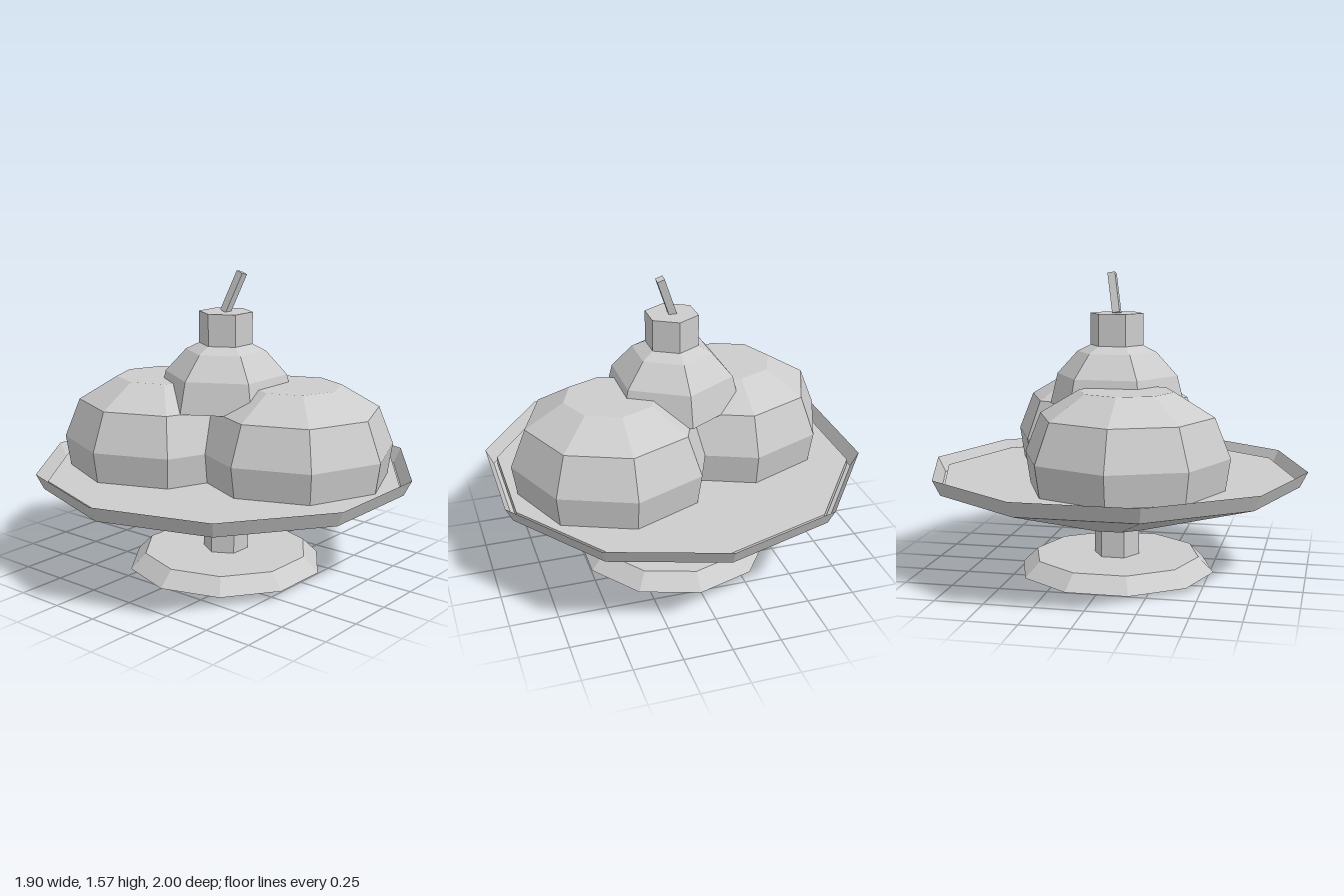
import * as THREE from 'three';

const grey = new THREE.MeshStandardMaterial({ color: 0xcccccc, side: THREE.DoubleSide });
grey.name = 'pale grey';

// Facet a geometry so every face is flat
function faceted(name, geometry) {
  const flat = geometry.toNonIndexed();
  flat.computeVertexNormals();
  const mesh = new THREE.Mesh(flat, grey);
  mesh.name = name;
  return mesh;
}

// Turned part from [radius, height] pairs, listed bottom to top
function turned(name, sides, profile) {
  const points = profile.map(([r, y]) => new THREE.Vector2(r, y));
  return faceted(name, new THREE.LatheGeometry(points, sides));
}

export function createModel() {
  const model = new THREE.Group();
  model.name = 'sundae';

  // Pedestal dish: a thin open bowl on a stem and foot
  model.add(turned('foot', 10, [[0, 0], [0.52, 0], [0.44, 0.08], [0, 0.08]]));
  model.add(turned('stem', 6, [[0.12, 0.07], [0.12, 0.25]]));
  model.add(turned('bowl', 10, [[0, 0.24], [0.2, 0.24], [0.96, 0.48], [1, 0.56]]));

  // Flat filling, leaving a narrow gap inside the rim
  model.add(turned('filling', 10, [[0, 0.48], [0.94, 0.48], [0.94, 0.52], [0, 0.52]]));

  // Two overlapping scoops
  for (const [name, x, z] of [['rightScoop', -0.34, 0.12], ['leftScoop', 0.36, -0.12]]) {
    const scoop = turned(name, 8, [[0.495, 0.515], [0.52, 0.68], [0.44, 0.88], [0.24, 1], [0, 1]]);
    scoop.position.set(x, 0, z);
    model.add(scoop);
  }

  // Whipped cream and cherry
  model.add(turned('cream', 6, [
    [0, 0.88], [0.36, 0.88], [0.32, 1.04], [0.21, 1.16], [0.13, 1.2], [0, 1.2],
  ]));
  model.add(turned('cherry', 6, [[0, 1.19], [0.14, 1.19], [0.14, 1.36], [0, 1.36]]));

  // Leaning cherry stalk
  const stalk = faceted('cherryStalk', new THREE.BoxGeometry(0.04, 0.22, 0.04));
  stalk.position.set(0.035, 1.46, -0.02);
  stalk.rotation.set(-0.2, 0, -0.35);
  model.add(stalk);

  return model;
}
